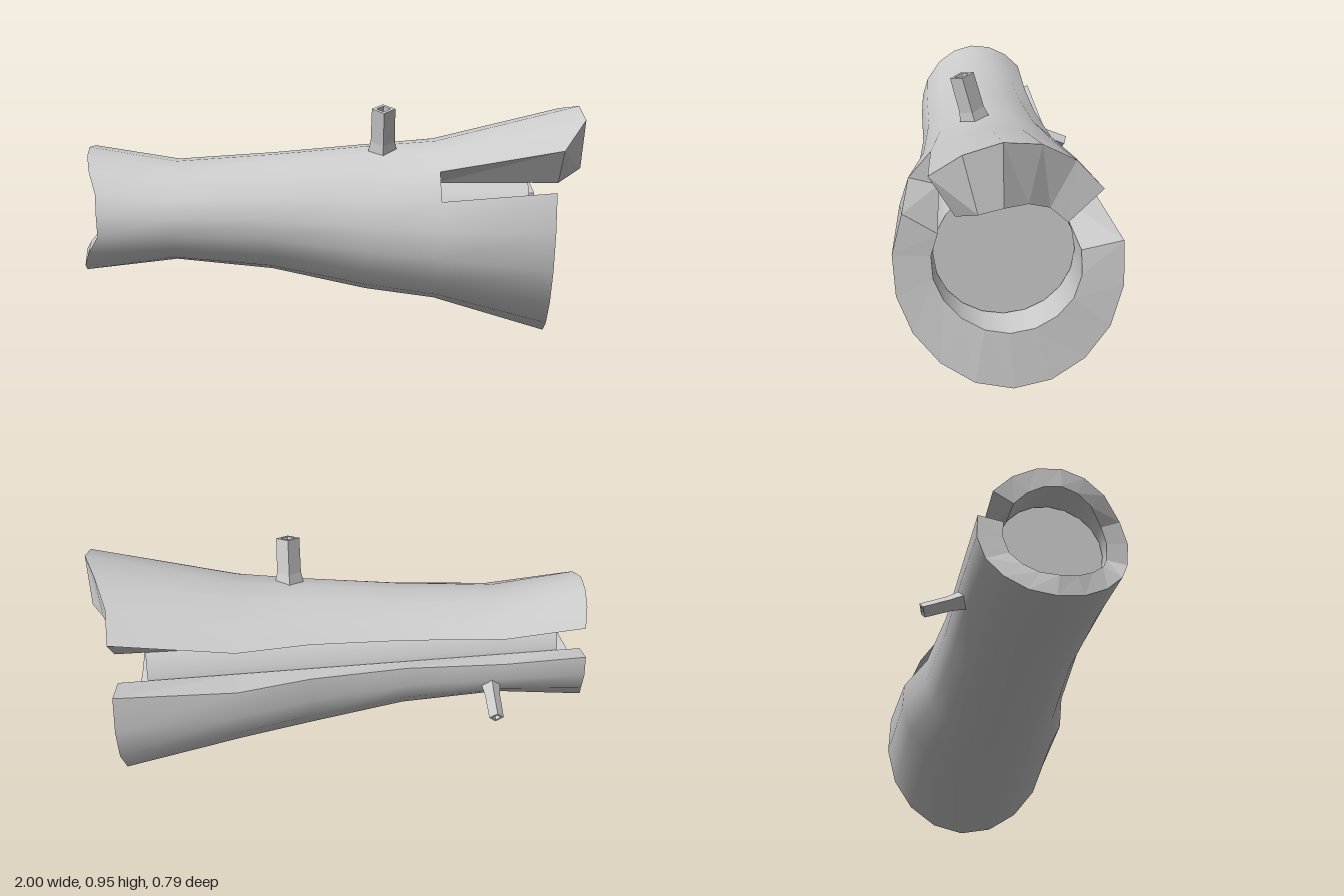
import * as THREE from 'three';

// Outer sleeve sections along x: [x, yBottom, yTop, zBack, zFront]
const SECTIONS = [
  [-1, 0.262, 0.78, -0.25, 0.28],
  [-0.62, 0.312, 0.717, -0.256, 0.29],
  [-0.23, 0.27, 0.745, -0.256, 0.287],
  [0.15, 0.185, 0.78, -0.285, 0.317],
  [0.43, 0.15, 0.802, -0.355, 0.382],
  [1, -0.03, 0.945, -0.38, 0.408],
];
// Angles around the sleeve (0 = top, 90 = front); the back slot lies between the last and first
const ANGLES = [];
for (let i = 0; i <= 5; i++) ANGLES.push(-52 + (94 * i) / 5);
for (let i = 0; i <= 11; i++) ANGLES.push(64 + (218 * i) / 11);
// Uneven ends of the sleeve, one x per angle
const WIDE_END = [0.9, 0.905, 0.95, 1, 1, 0.9, 0.86, 0.855, 0.855, 0.86, 0.87, 0.885, 0.895, 0.9, 0.905, 0.91, 0.905, 0.895];
const NARROW_END = [-0.94, -0.955, -0.965, -0.97, -0.96, -0.94, -0.905, -0.9, -0.9, -0.95, -0.98, -0.995, -1, -0.985, -0.97, -0.95, -0.945, -0.94];
const NOTCH = 5; // angle step left open at the wide end
const LAST = SECTIONS.length - 1;

const smooth = new THREE.MeshStandardMaterial({ color: 0xcccccc, side: THREE.DoubleSide });
const flat = new THREE.MeshStandardMaterial({ color: 0xcccccc, side: THREE.DoubleSide, flatShading: true });
const lerp = THREE.MathUtils.lerp;

function outerPoint(x, deg) {
  let k = 0;
  while (k < LAST - 1 && x > SECTIONS[k + 1][0]) k++;
  const a = SECTIONS[k], b = SECTIONS[k + 1];
  const t = (x - a[0]) / (b[0] - a[0]);
  const [, y0, y1, z0, z1] = a.map((v, i) => lerp(v, b[i], t));
  const r = THREE.MathUtils.degToRad(deg);
  return [x, (y0 + y1) / 2 + ((y1 - y0) / 2) * Math.cos(r), (z0 + z1) / 2 + ((z1 - z0) / 2) * Math.sin(r)];
}

// The bore is a plain, slightly tilted cone
const boreRadius = (x) => lerp(0.182, 0.256, (x + 1) / 2);
const boreY = (x) => lerp(0.52, 0.471, (x + 1) / 2);
function innerPoint(x, deg) {
  const r = THREE.MathUtils.degToRad(deg);
  return [x, boreY(x) + boreRadius(x) * Math.cos(r), 0.021 + boreRadius(x) * Math.sin(r)];
}

const columnX = (i, j) => (j === 0 ? NARROW_END[i] : j === LAST ? WIDE_END[i] : SECTIONS[j][0]);

// Builds a surface from rows of points, leaving out the cells that skip() picks
function gridMesh(name, rows, material, inward = false, skip = () => false) {
  const n = rows[0].length, index = [];
  for (let i = 0; i < rows.length - 1; i++) {
    for (let j = 0; j < n - 1; j++) {
      if (skip(i, j)) continue;
      const a = i * n + j, b = a + n, c = b + 1, d = a + 1;
      if (inward) index.push(a, d, b, b, d, c);
      else index.push(a, b, d, b, c, d);
    }
  }
  const geo = new THREE.BufferGeometry();
  geo.setAttribute('position', new THREE.Float32BufferAttribute(rows.flat(2), 3));
  geo.setIndex(index);
  geo.computeVertexNormals();
  const mesh = new THREE.Mesh(geo, material);
  mesh.name = name;
  return mesh;
}

// Wall joining outer and inner surface along a path of [angle index, column] pairs
function wall(name, path, flip = false) {
  const rows = [outerPoint, innerPoint].map((f) => path.map(([i, j]) => f(columnX(i, j), ANGLES[i])));
  return gridMesh(name, rows, flat, flip);
}

// Hollow square peg standing on its base, pointing along dir
function peg(name, base, dir, length, size) {
  const profile = [[0.064, -0.02], [0.048, 0.05], [0.046, length], [0.028, length], [0.024, length - 0.03], [0, length - 0.03]];
  const geo = new THREE.LatheGeometry(profile.map(([r, y]) => new THREE.Vector2(r * size, y)), 4);
  const mesh = new THREE.Mesh(geo, flat);
  mesh.name = name;
  mesh.position.set(...base);
  mesh.quaternion.setFromUnitVectors(new THREE.Vector3(0, 1, 0), new THREE.Vector3(...dir).normalize());
  return mesh;
}

export function createModel() {
  const model = new THREE.Group();
  model.name = 'forearmSleeve';

  // Shell: outer and inner skins with the notch cut out
  const skin = (f) => ANGLES.map((deg, i) => SECTIONS.map((_, j) => f(columnX(i, j), deg)));
  const inNotch = (i, j) => i === NOTCH && j === LAST - 1;
  model.add(gridMesh('outerShell', skin(outerPoint), smooth, false, inNotch));
  model.add(gridMesh('innerShell', skin(innerPoint), smooth, true, inNotch));

  // Rims at both ends
  const around = (from, to, j) => Array.from({ length: to - from + 1 }, (_, k) => [from + k, j]);
  const end = ANGLES.length - 1;
  model.add(wall('narrowRim', around(0, end, 0), true));
  model.add(wall('upperFlapRim', around(0, NOTCH, LAST)));
  model.add(wall('lowerWideRim', around(NOTCH + 1, end, LAST)));

  // Edges of the back slot and of the front notch
  const along = (i, from) => Array.from({ length: LAST - from + 1 }, (_, k) => [i, from + k]);
  model.add(wall('slotUpperEdge', along(0, 0)));
  model.add(wall('slotLowerEdge', along(end, 0), true));
  model.add(wall('notchUpperEdge', along(NOTCH, LAST - 1), true));
  model.add(wall('notchLowerEdge', along(NOTCH + 1, LAST - 1)));
  model.add(wall('notchStart', around(NOTCH, NOTCH + 1, LAST - 1)));

  // Solid core, recessed at both ends and showing in the slot
  const x0 = -0.85, x1 = 0.78;
  const coreGeo = new THREE.CylinderGeometry(boreRadius(x1) * 0.98, boreRadius(x0) * 0.98, x1 - x0, 20);
  coreGeo.rotateZ(-Math.PI / 2 - Math.atan2(boreY(x0) - boreY(x1), x1 - x0));
  const core = new THREE.Mesh(coreGeo, smooth);
  core.name = 'core';
  core.position.set((x0 + x1) / 2, (boreY(x0) + boreY(x1)) / 2, 0.021);
  model.add(core);

  // Pegs on top and at the back
  model.add(peg('topPeg', [0.215, 0.76, 0.085], [0, 0.97, 0.26], 0.19, 1));
  model.add(peg('backPeg', [-0.572, 0.45, -0.24], [0, -0.36, -0.93], 0.15, 0.62));
  return model;
}
